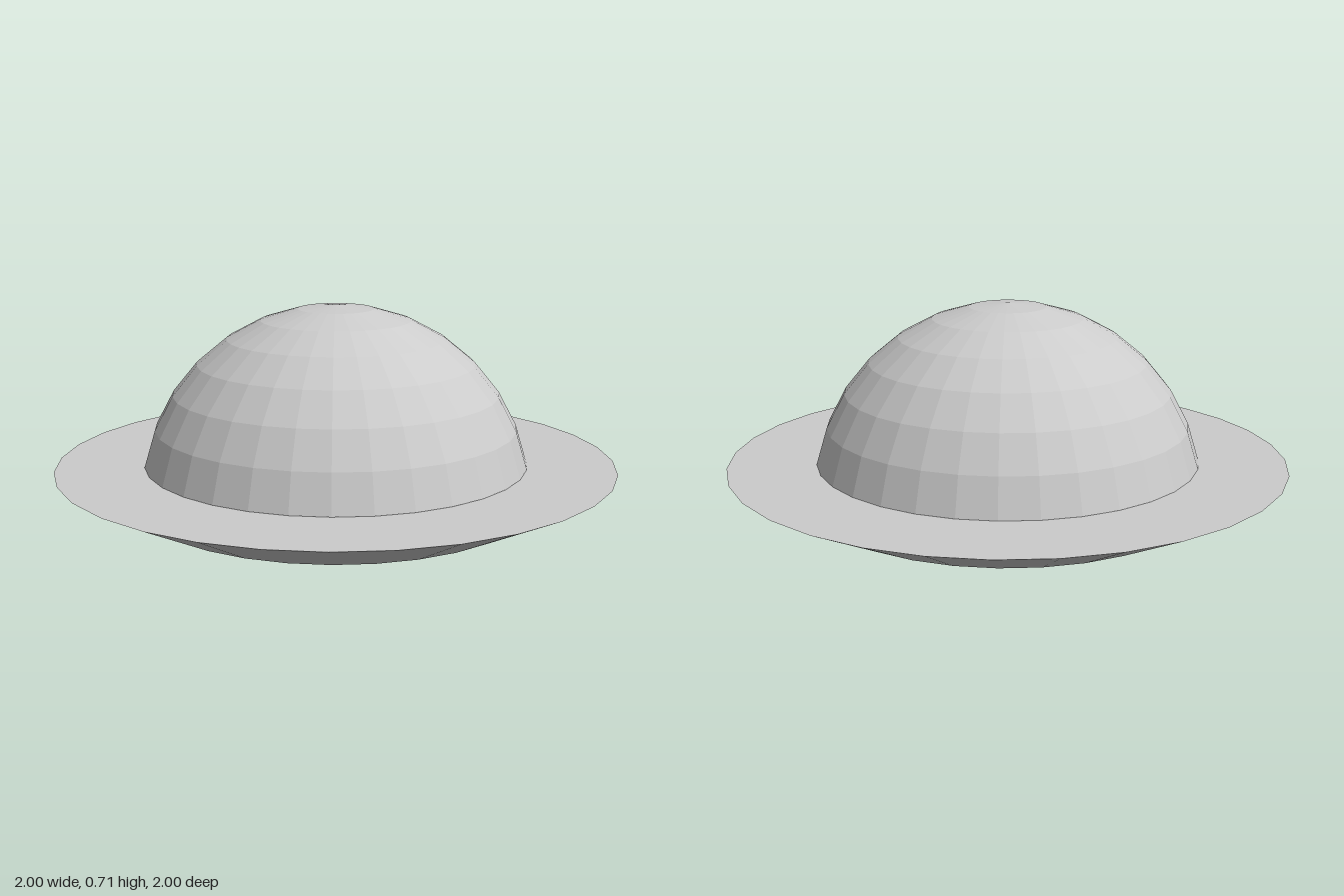
import * as THREE from 'three';

const SIDES = 32;
const RIM_HEIGHT = 0.145;

export function createModel() {
  const group = new THREE.Group();
  group.name = 'domedDish';
  const material = new THREE.MeshStandardMaterial({ color: 0xcccccc, flatShading: true });

  const addPart = (name, geometry, y) => {
    const mesh = new THREE.Mesh(geometry, material);
    mesh.name = name;
    mesh.position.y = y;
    group.add(mesh);
  };

  // Flared base: flat top and bottom, sloping side
  addPart('base', new THREE.CylinderGeometry(1, 0.71, RIM_HEIGHT, SIDES), RIM_HEIGHT / 2);

  // Dome: seven of the sphere's sixteen rings, ending on the base's top
  const dome = new THREE.SphereGeometry(0.7, SIDES, 7, 0, Math.PI * 2, 0, Math.PI * 7 / 16);
  addPart('dome', dome, 0.01);

  return group;
}
